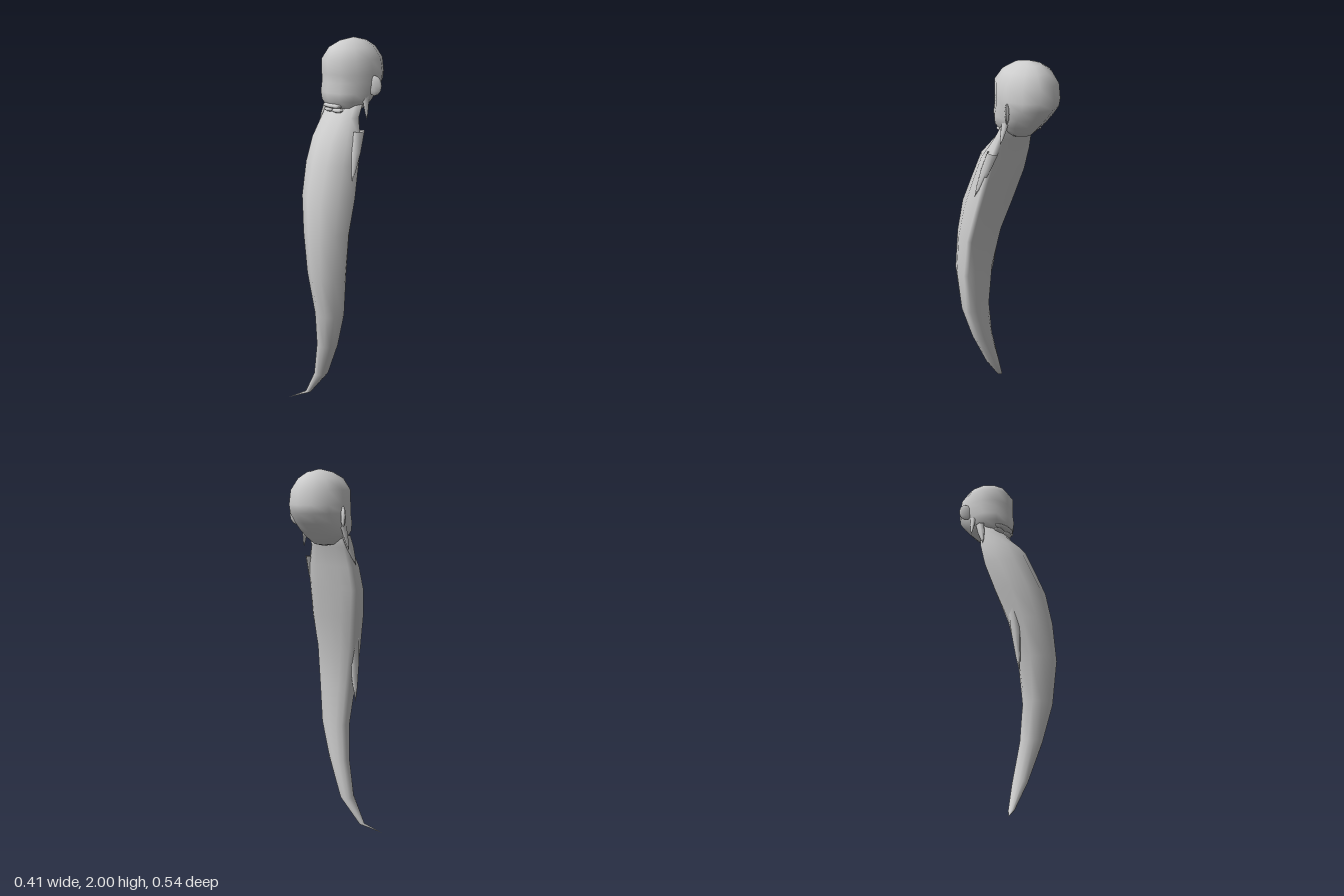
import * as THREE from 'three';

const skin = new THREE.MeshStandardMaterial({ color: 0xcccccc, side: THREE.DoubleSide });
skin.name = 'plain grey';

// Smooth skin over rings from top to bottom: [y, xMin, xMax, zBack, zFront, zWidest]
function loft(name, rings, sides = 12) {
  const pos = [], index = [];
  rings.forEach(([y, x0, x1, z0, z1, zw = (z0 + z1) / 2], r) => {
    for (let i = 0; i < sides; i++) {
      const a = (i / sides) * Math.PI * 2 + Math.PI / 2, s = Math.sin(a);
      pos.push((x0 + x1) / 2 + (x1 - x0) / 2 * Math.cos(a), y, zw + s * (s > 0 ? z1 - zw : zw - z0));
      if (r === rings.length - 1) continue;
      const j = (i + 1) % sides, p = r * sides, q = p + sides;
      index.push(p + i, p + j, q + i, p + j, q + j, q + i);
    }
  });
  const g = new THREE.BufferGeometry();
  g.setAttribute('position', new THREE.Float32BufferAttribute(pos, 3));
  g.setIndex(index);
  g.computeVertexNormals();
  const mesh = new THREE.Mesh(g, skin);
  mesh.name = name;
  return mesh;
}

// Flattened ball for ears and lips
function pad(name, x, y, z, sx, sy, sz, turn = 0) {
  const mesh = new THREE.Mesh(new THREE.SphereGeometry(1, 8, 6), skin);
  mesh.name = name;
  mesh.position.set(x, y, z);
  mesh.scale.set(sx, sy, sz);
  mesh.rotation.y = turn;
  return mesh;
}

// Hanging lock that narrows from a root [x, y, z] to a pointed tip
function lock(name, root, tip, wx, wz) {
  const rings = [0, 0.4, 0.75, 1].map((t) => {
    const [x, y, z] = root.map((v, i) => v + (tip[i] - v) * t), k = 1 - t * t;
    return [y, x - wx * k, x + wx * k, z - wz * k, z + wz * k];
  });
  return loft(name, rings, 6);
}

export function createModel() {
  const group = new THREE.Group();
  group.name = 'beardedHead';

  // Head, from crown to nape
  group.add(loft('head', [
    [2.0, -0.02, -0.02, -0.11, -0.11],
    [1.985, -0.075, 0.035, -0.18, -0.03],
    [1.955, -0.125, 0.085, -0.225, 0.025],
    [1.9, -0.158, 0.122, -0.262, 0.065],
    [1.83, -0.165, 0.13, -0.27, 0.062],
    [1.79, -0.165, 0.13, -0.262, 0.06],
    [1.74, -0.16, 0.125, -0.225, 0.068],
    [1.7, -0.15, 0.115, -0.19, 0.062],
    [1.665, -0.125, 0.085, -0.155, 0.04],
    [1.635, -0.08, 0.04, -0.125, 0.01],
    [1.625, -0.02, -0.02, -0.08, -0.08],
  ]));

  // Long beard, flatter behind, curling to a point
  group.add(loft('beard', [
    [1.71, -0.02, -0.02, -0.06, -0.06],
    [1.7, -0.13, 0.1, -0.1, 0.0, -0.07],
    [1.62, -0.14, 0.11, -0.065, 0.045, -0.03],
    [1.52, -0.152, 0.15, -0.04, 0.135, -0.01],
    [1.4, -0.15, 0.168, -0.01, 0.185, 0.02],
    [1.24, -0.11, 0.188, 0.03, 0.243, 0.06],
    [1.06, -0.06, 0.198, 0.073, 0.265, 0.11],
    [0.85, -0.012, 0.202, 0.097, 0.27, 0.135],
    [0.62, 0.018, 0.186, 0.097, 0.232, 0.14],
    [0.42, 0.005, 0.125, 0.09, 0.197, 0.135],
    [0.21, -0.04, 0.03, 0.086, 0.17, 0.125],
    [0.06, -0.108, -0.078, 0.138, 0.168],
    [0.005, -0.188, -0.188, 0.225, 0.225],
  ]));

  // Stray locks along the beard edges
  group.add(lock('leftBeardLock', [0.13, 1.56, -0.015], [0.176, 1.32, 0.07], 0.025, 0.035));
  group.add(lock('rightBeardLock', [-0.04, 1.12, 0.13], [-0.035, 0.76, 0.16], 0.03, 0.03));
  group.add(lock('rightShoulderLock', [-0.13, 1.68, -0.04], [-0.155, 1.53, 0.01], 0.02, 0.03));

  // Whiskers and ears on both sides
  for (const side of [1, -1]) {
    const word = side > 0 ? 'left' : 'right';
    group.add(lock(word + 'Whisker', [-0.02 + side * 0.125, 1.74, -0.08],
      [-0.02 + side * 0.152, 1.61, -0.065], 0.012, 0.022));
    group.add(pad(word + 'Ear', -0.02 + side * 0.155, 1.775, -0.112, 0.036, 0.05, 0.011, side * 0.65));
  }

  // Lips
  group.add(pad('upperLip', -0.015, 1.675, 0.035, 0.07, 0.014, 0.028));
  for (const x of [-0.045, 0.015]) group.add(pad('lowerLip', x, 1.652, 0.025, 0.036, 0.012, 0.026));

  return group;
}
